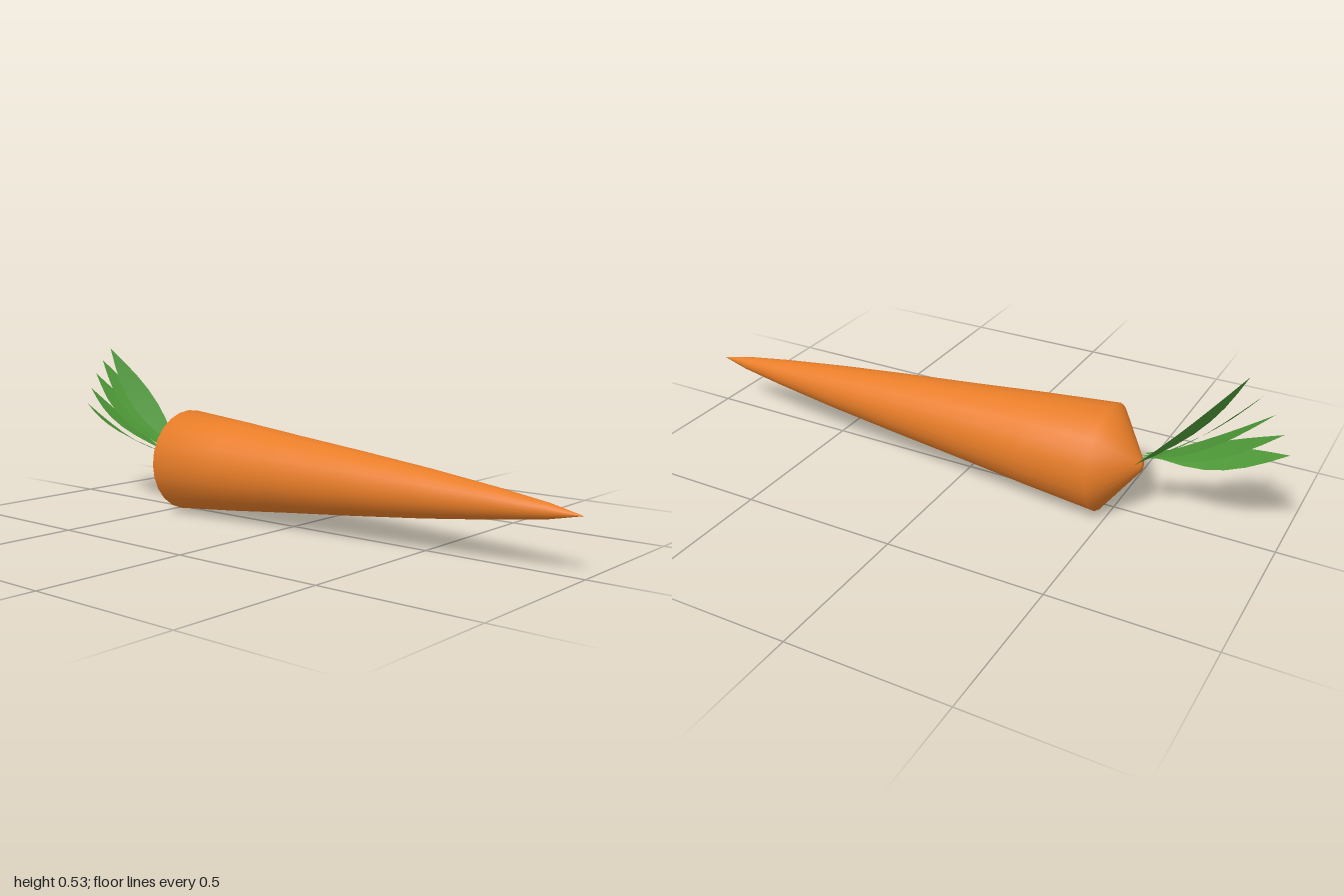
import * as THREE from 'three';

const RADIUS = 0.168;

// Tapered root, turned around the x axis
function makeRoot() {
  const profile = [
    [0, -0.583], [0.018, -0.58], [RADIUS, -0.47], [0.147, -0.235], [0.123, 0],
    [0.099, 0.25], [0.073, 0.5], [0.045, 0.73], [0.022, 0.89], [0, 0.99],
  ].map(([r, y]) => new THREE.Vector2(r, y));
  const geometry = new THREE.LatheGeometry(profile, 24).rotateZ(-Math.PI / 2);
  const root = new THREE.Mesh(geometry, new THREE.MeshStandardMaterial({ color: 0xe87d28 }));
  root.name = 'root';
  root.position.y = RADIUS;
  return root;
}

// Pointed, bowed blade: pitch is its climb, roll turns its face, baseZ shifts its stem
function makeLeaf(pitch, roll, baseZ, material) {
  const length = 0.45, halfWidth = 0.043, bow = 0.02;
  const side = new THREE.Vector3(0, 0, 1);
  const along = new THREE.Vector3(-Math.cos(pitch), Math.sin(pitch), 0);
  const up = new THREE.Vector3(Math.sin(pitch), Math.cos(pitch), 0);
  const normal = up.clone().multiplyScalar(Math.cos(roll)).addScaledVector(side, Math.sin(roll));
  const across = side.clone().multiplyScalar(Math.cos(roll)).addScaledVector(up, -Math.sin(roll));

  const geometry = new THREE.PlaneGeometry(2, 1, 2, 7);
  const position = geometry.attributes.position;
  const p = new THREE.Vector3();
  for (let i = 0; i < position.count; i++) {
    const s = position.getX(i);
    const t = position.getY(i) + 0.5;
    const swell = Math.max(0, Math.sin(Math.PI * t));
    p.set(-0.572, 0.19, baseZ * (1 - t))
      .addScaledVector(along, length * t)
      .addScaledVector(normal, -bow * swell)
      .addScaledVector(across, s * halfWidth * swell);
    position.setXYZ(i, p.x, p.y, p.z);
  }
  geometry.computeVertexNormals();
  return new THREE.Mesh(geometry, material);
}

export function createModel() {
  const model = new THREE.Group();
  model.name = 'carrot';
  model.add(makeRoot());

  // Fan of five leaves, cupped towards the middle
  const leaves = new THREE.Group();
  leaves.name = 'leaves';
  const green = new THREE.MeshStandardMaterial({ color: 0x4c9636, side: THREE.DoubleSide });
  for (let i = -2; i <= 2; i++) {
    const leaf = makeLeaf(
      THREE.MathUtils.degToRad(33 + 8 * i),
      THREE.MathUtils.degToRad(13 * i),
      -0.02 * i,
      green,
    );
    leaf.name = `leaf${i + 3}`;
    leaves.add(leaf);
  }
  model.add(leaves);
  return model;
}
